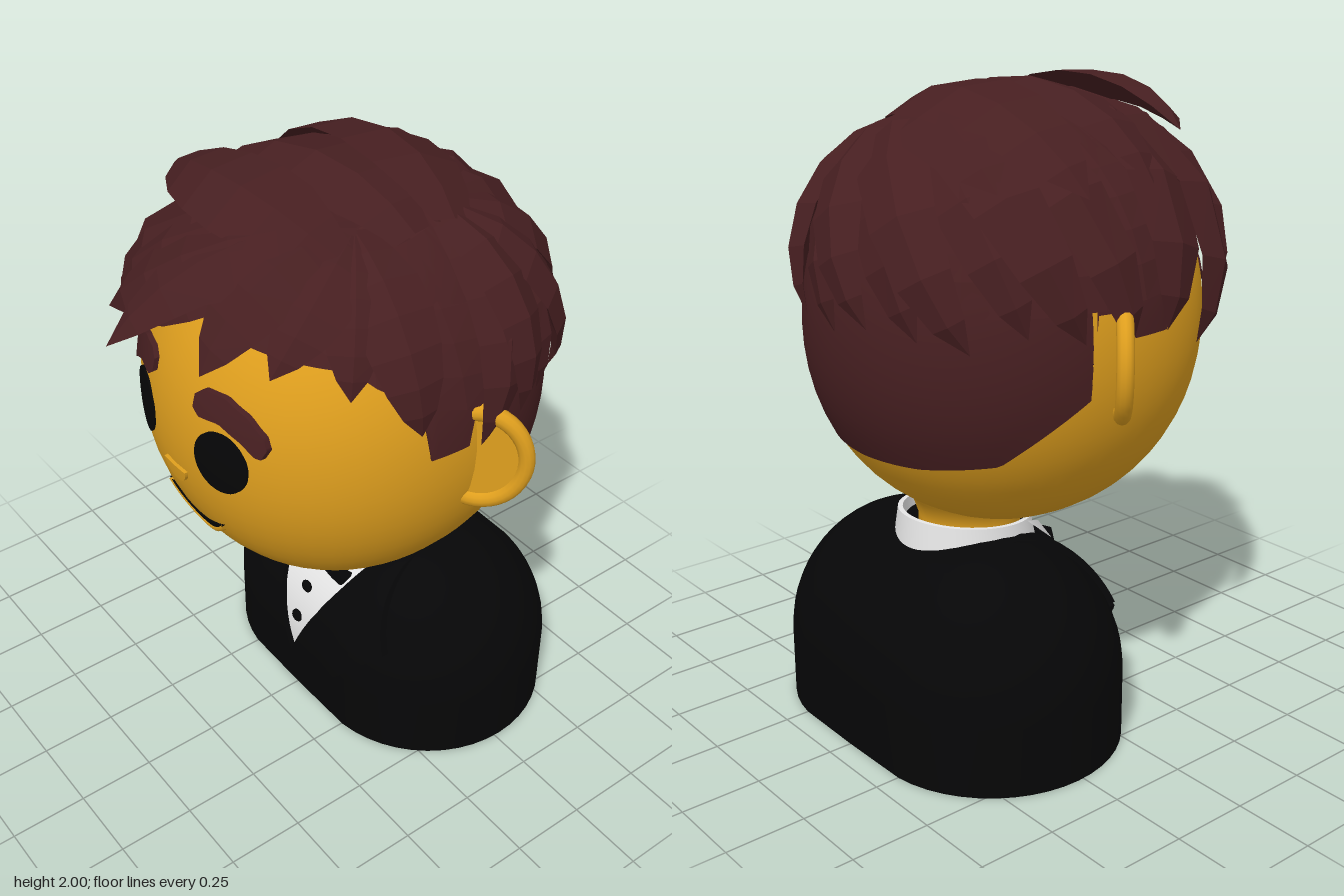
import * as THREE from 'three';
import { toCreasedNormals } from 'three/addons/utils/BufferGeometryUtils.js';

const mat = (name, color, side = THREE.FrontSide) => new THREE.MeshStandardMaterial({ name, color, side });
const skin = mat('skin', 0xdf9f1e);
const hairMat = mat('hair', 0x471f21, THREE.DoubleSide);
const black = mat('black', 0x060607);
const white = mat('white', 0xe6e6e6, THREE.DoubleSide);

const HEAD = { c: [0, 1.28, -0.055], r: [0.58, 0.64, 0.615], p: 2.1 };
const DOME = { c: [-0.01, 1.36, -0.04], r: [0.6, 0.55, 0.62], p: 2 };

// Surface from a grid of points fn(i, j); crease 0 gives flat facets
function grid(m, n, fn, crease = 0.7) {
  const pos = [], idx = [];
  for (let i = 0; i <= m; i++) for (let j = 0; j <= n; j++) pos.push(...fn(i, j));
  for (let i = 0; i < m; i++) for (let j = 0; j < n; j++) {
    const a = i * (n + 1) + j, b = a + 1, c = a + n + 1, d = c + 1;
    idx.push(a, c, b, b, c, d);
  }
  const g = new THREE.BufferGeometry();
  g.setAttribute('position', new THREE.Float32BufferAttribute(pos, 3));
  g.setIndex(idx);
  return toCreasedNormals(g, crease);
}

// Linear lookup in rows of [key, value, ...]
function lookup(table, k) {
  let i = 0;
  while (i < table.length - 2 && k > table[i + 1][0]) i++;
  const [a, b] = [table[i], table[i + 1]];
  const t = THREE.MathUtils.clamp((k - a[0]) / (b[0] - a[0]), 0, 1);
  return a.map((v, q) => v + (b[q] - v) * t).slice(1);
}

// Rounded cap running from the top down to a height that depends on the angle from the front
function cap(s, edge, { grow = 1, m = 20, n = 120, crease = 0.7, rim = 1 } = {}) {
  return grid(m + 1, n, (i, j) => {
    const deg = -180 + (360 * j) / n, a = THREE.MathUtils.degToRad(deg);
    const cos = THREE.MathUtils.clamp((edge(deg) - s.c[1]) / s.r[1], -1, 1);
    const th = (Math.min(i, m) / m) * Math.acos(cos);
    const d = [Math.sin(th) * Math.sin(a), Math.cos(th), Math.sin(th) * Math.cos(a)];
    const sum = d.reduce((q, v) => q + Math.abs(v) ** s.p, 0);
    const k = sum ** (-1 / s.p) * grow * (i > m ? rim : 1);
    return d.map((v, q) => s.c[q] + v * k * s.r[q]);
  }, crease);
}

// Front surface depth of the head and of the body
const headZ = (x, y) => HEAD.c[2] + HEAD.r[2] *
  Math.max(0, 1 - Math.abs(x / 0.58) ** 2.1 - Math.abs((y - 1.28) / 0.64) ** 2.1) ** (1 / 2.1);
const bodyR = (y) => 0.405 * Math.sqrt(Math.max(0, 1 - (Math.max(0, y - 0.22) / 0.42) ** 2));
const bodyZ = (x, y) => -0.27 + Math.sqrt(Math.max(0, bodyR(y) ** 2 - Math.max(0, Math.abs(x) - 0.2) ** 2));

// Plate laid on a surface; each row is a segment [x0, y0, x1, y1]
function drape(rows, zFn, lift, m = 24, n = 10) {
  const table = rows.map((r, i) => [i / (rows.length - 1), ...r]);
  return grid(m + 2, n + 2, (i, j) => {
    const u = THREE.MathUtils.clamp((i - 1) / m, 0, 1), v = THREE.MathUtils.clamp((j - 1) / n, 0, 1);
    const [x0, y0, x1, y1] = lookup(table, u);
    const x = x0 + (x1 - x0) * v, y = y0 + (y1 - y0) * v;
    const border = i === 0 || j === 0 || i === m + 2 || j === n + 2;
    return [x, y, zFn(x, y) + (border ? -0.008 : lift)];
  });
}
const mirrorRows = (rows, s) => (s > 0 ? rows : rows.map(([a, b, c, d]) => [-c, d, -a, b]));
const ellipseRows = (cx, cy, rx, ry, from = 0) => Array.from({ length: 17 }, (_, i) => {
  const t = from + ((Math.PI - from) * i) / 16, w = rx * Math.sin(t), y = cy + ry * Math.cos(t);
  return [cx - w, y, cx + w, y];
});

// Tapered lock of hair following the dome from root to tip
function lock(root, tip, w, bulge = 0, bend = 0, thick = 0.035) {
  const norm = (p) => new THREE.Vector3(...p.map((v, q) => (v - DOME.c[q]) / DOME.r[q]));
  const A = norm(root), B = norm(tip), R = new THREE.Vector3(...DOME.r), C = new THREE.Vector3(...DOME.c);
  const path = (t) => {
    const len = THREE.MathUtils.lerp(A.length(), B.length(), t) + bulge * Math.sin(Math.PI * t);
    const d = A.clone().normalize().lerp(B.clone().normalize(), t).normalize();
    return d.multiplyScalar(len).multiply(R).add(C);
  };
  const m = 7;
  return grid(m, 4, (i, j) => {
    const t = i / m, p = path(t);
    const T = path(t + 0.02).sub(path(t - 0.02)).normalize();
    const U = p.clone().sub(C).divide(R).divide(R);
    U.addScaledVector(T, -U.dot(T)).normalize();
    const S = T.clone().cross(U);
    const f = (1 - t ** 3.6) * Math.min(1, 0.4 + 1.8 * t);
    const q = (j % 4) * Math.PI / 2;
    p.addScaledVector(S, w * f * Math.cos(q) + bend * Math.sin(Math.PI * t));
    return p.addScaledVector(U, thick * f * Math.sin(q)).toArray();
  }, 0);
}

export function createModel() {
  const model = new THREE.Group();
  const add = (name, geo, material, parent = model) => {
    const mesh = new THREE.Mesh(geo, material);
    mesh.name = name;
    parent.add(mesh);
    return mesh;
  };

  // Jacket: a turned dome pulled apart sideways into a stadium
  const profile = [new THREE.Vector2(0, 0), new THREE.Vector2(0.405, 0), new THREE.Vector2(0.405, 0.005)];
  for (let i = 0; i <= 16; i++) {
    const t = (i / 16) * Math.PI / 2;
    profile.push(new THREE.Vector2(0.405 * Math.cos(t), 0.22 + 0.42 * Math.sin(t)));
  }
  const jacket = new THREE.LatheGeometry(profile, 48);
  const jp = jacket.attributes.position;
  for (let i = 0; i < jp.count; i++) {
    const x = jp.getX(i), shift = Math.abs(x) > 1e-6 ? Math.sign(x) * 0.2 : 0;
    jp.setXYZ(i, x + shift, jp.getY(i), jp.getZ(i) - 0.27);
  }
  add('jacket', jacket, black);

  // Shirt front, buttons and lapels
  add('shirtFront', drape([[-0.18, 0.6, 0.18, 0.6], [-0.14, 0.5, 0.14, 0.5], [-0.004, 0.18, 0.004, 0.18]], bodyZ, 0.008), white);
  for (const y of [0.43, 0.32]) {
    const b = add('shirtButton', new THREE.SphereGeometry(0.023, 16, 10), black);
    b.position.set(0, y, bodyZ(0, y) + 0.01);
    b.scale.z = 0.6;
  }
  const lapel = [[0.19, 0.63, 0.25, 0.635], [0.14, 0.5, 0.33, 0.49], [0.105, 0.42, 0.385, 0.395],
    [0.098, 0.4, 0.27, 0.385], [0.085, 0.375, 0.35, 0.36], [0.002, 0.18, 0.2, 0.19], [0, 0.1, 0.1, 0.1]];
  for (const s of [1, -1]) add('lapel', drape(mirrorRows(lapel, s), bodyZ, 0.026, 36), black);

  // Neck
  const neck = add('neck', new THREE.LatheGeometry([[0.16, 0.5], [0.16, 0.66], [0.18, 0.72], [0.26, 0.8]]
    .map((p) => new THREE.Vector2(...p)), 32), skin);
  neck.position.z = -0.2;

  // Collar band with an open front, and its two folded points
  add('collar', grid(3, 40, (i, j) => {
    const a = THREE.MathUtils.degToRad(50 + (260 * j) / 40), back = (1 - Math.cos(a)) / 2;
    const top = 0.65 + 0.04 * back, r = [0.225, 0.205, 0.19, 0.195][i];
    const y = [0.55, top, top, 0.55][i];
    return [r * Math.sin(a), y, -0.215 + (r + 0.01) * Math.cos(a)];
  }, 0.5), white);
  for (const s of [1, -1]) {
    const wing = [[0.2, 0.665, -0.13], [0.1, 0.6, 0.0], [0.155, 0.555, 0.01], [0.06, 0.55, 0.03]];
    add('collarPoint', grid(1, 1, (i, j) => {
      const [x, y, z] = wing[i * 2 + j];
      return [s * x, y, z];
    }), white);
  }

  // Bow tie
  const bow = new THREE.Group();
  bow.name = 'bowTie';
  bow.position.set(0, 0.53, 0.02);
  model.add(bow);
  const knot = add('bowKnot', new THREE.SphereGeometry(0.047, 20, 12), black, bow);
  knot.scale.z = 0.8;
  for (const s of [1, -1]) {
    const shape = new THREE.Shape([[0.02, -0.022], [0.115, -0.042], [0.128, 0], [0.115, 0.034], [0.02, 0.02]]
      .map(([x, y]) => new THREE.Vector2(s * x, y)));
    const wing = add('bowWing', new THREE.ExtrudeGeometry(shape,
      { depth: 0.025, bevelSize: 0.008, bevelThickness: 0.01, bevelSegments: 2 }), black, bow);
    wing.position.z = -0.012;
  }

  // Head and close-cropped lower hair
  add('head', cap(HEAD, () => 0, { m: 32, n: 56 }), skin);
  const crop = [[0, 1.66], [60, 1.6], [76, 1.45], [77, 1.32], [91, 1.32], [92, 1.4], [102, 1.4],
    [103, 1.17], [129, 0.98], [155, 0.95], [180, 0.94]];
  add('croppedHair', cap(HEAD, (d) => lookup(crop, Math.abs(d))[0], { grow: 1.008, n: 180, rim: 0.98 }), hairMat);

  // Ears: a rim around a thin panel, swept back
  for (const s of [1, -1]) {
    const ear = new THREE.Group();
    ear.name = 'ear';
    ear.position.set(s * 0.575, 1.26, -0.1);
    ear.rotation.y = s * 0.7;
    ear.scale.set(1, 1.12, 1);
    model.add(ear);
    add('earRim', new THREE.TorusGeometry(0.138, 0.025, 12, 40), skin, ear);
    add('earPanel', new THREE.CylinderGeometry(0.135, 0.135, 0.02, 40).rotateX(Math.PI / 2), skin, ear);
  }

  // Eyes and eyebrows
  const brow = [[0.105, 1.445, 0.105, 1.485], [0.13, 1.425, 0.13, 1.508], [0.2, 1.43, 0.2, 1.51],
    [0.27, 1.395, 0.275, 1.475], [0.31, 1.36, 0.325, 1.425], [0.325, 1.358, 0.337, 1.39]];
  for (const s of [1, -1]) {
    add('eye', drape(ellipseRows(s * 0.195, 1.29, 0.087, 0.102), headZ, 0.006), black);
    add('eyebrow', drape(mirrorRows(brow, s), headZ, 0.016), hairMat);
  }

  // Nose, mouth and lip
  add('nose', drape(ellipseRows(0, 1.18, 0.054, 0.055, Math.PI / 2), headZ, 0.01), skin);
  const mouthX = Array.from({ length: 17 }, (_, i) => -0.145 + (0.29 * i) / 16);
  const upper = (x) => 0.97 + 0.04 * (x / 0.145) ** 2, lower = (x) => 0.925 + 0.085 * (x / 0.145) ** 2;
  add('mouth', drape(mouthX.map((x) => [x, lower(x), x, upper(x) + 0.001]), headZ, 0.006), black);
  const lip = new THREE.CatmullRomCurve3(mouthX.map((x) => new THREE.Vector3(x, lower(x) - 0.004, headZ(x, lower(x)))));
  add('lip', new THREE.TubeGeometry(lip, 32, 0.01, 8), skin);

  // Hair shell beneath the locks
  const hair = new THREE.Group();
  hair.name = 'hair';
  model.add(hair);
  const shell = [[-180, 1.4], [-100, 1.42], [-75, 1.45], [-55, 1.56], [-30, 1.65], [0, 1.67], [25, 1.68],
    [40, 1.7], [55, 1.64], [75, 1.5], [100, 1.42], [180, 1.4]];
  add('hairShell', cap(DOME, (d) => lookup(shell, d)[0], { m: 8, n: 28, crease: 0, rim: 0.84 }), hairMat, hair);

  // Locks swept from the parting: root, tip, half width, bulge, bend, thickness
  const part = [0.22, 1.88, 0.08], crown = [0.2, 1.87, -0.2];
  const locks = [
    [part, [-0.06, 1.62, 0.71], 0.12, -0.04, 0.05, 0.05], [part, [-0.25, 1.61, 0.59], 0.16, 0.01, -0.03, 0.06],
    [part, [-0.1, 1.62, 0.57], 0.15, 0.03, 0, 0.05],
    [part, [0.2, 1.61, 0.58], 0.13, 0, 0.04, 0.05], [part, [0.34, 1.62, 0.45], 0.11, 0.02, -0.02],
    [part, [-0.4, 1.53, 0.46], 0.17, 0.04, -0.03, 0.05], [part, [-0.53, 1.4, 0.33], 0.16, 0.04, -0.03, 0.05],
    [part, [-0.6, 1.27, 0.17], 0.15, 0.04, -0.03, 0.045], [part, [-0.63, 1.34, 0.02], 0.15, 0.03],
    [part, [0.47, 1.55, 0.28], 0.1, 0.03], [part, [0.57, 1.42, 0.11], 0.12, 0.04],
    [[0.27, 1.86, 0.18], [-0.46, 1.86, 0.22], 0.15, 0.03, -0.03, 0.045],
    [[0.3, 1.86, -0.06], [-0.52, 1.73, 0.06], 0.17, 0.03], [[0.3, 1.86, -0.2], [-0.54, 1.72, -0.2], 0.17, 0.03],
    [crown, [-0.42, 1.74, -0.42], 0.16, 0.02],
  ];
  // Side and back locks fan out from the crown
  for (let i = 0; i <= 12; i++) {
    const a = THREE.MathUtils.degToRad(94 + i * 14.2), odd = i % 2;
    const out = 1.02 + 0.025 * odd, y = 1.32 + 0.04 * ((i * 2) % 3) / 2;
    const tip = [-0.01 + 0.6 * out * Math.sin(a), y, -0.04 + 0.62 * out * Math.cos(a)];
    locks.push([crown, tip, 0.115, 0.05 + 0.025 * odd, odd ? 0.02 : -0.02]);
  }
  for (const l of locks) add('hairLock', lock(...l), hairMat, hair);

  return model;
}
